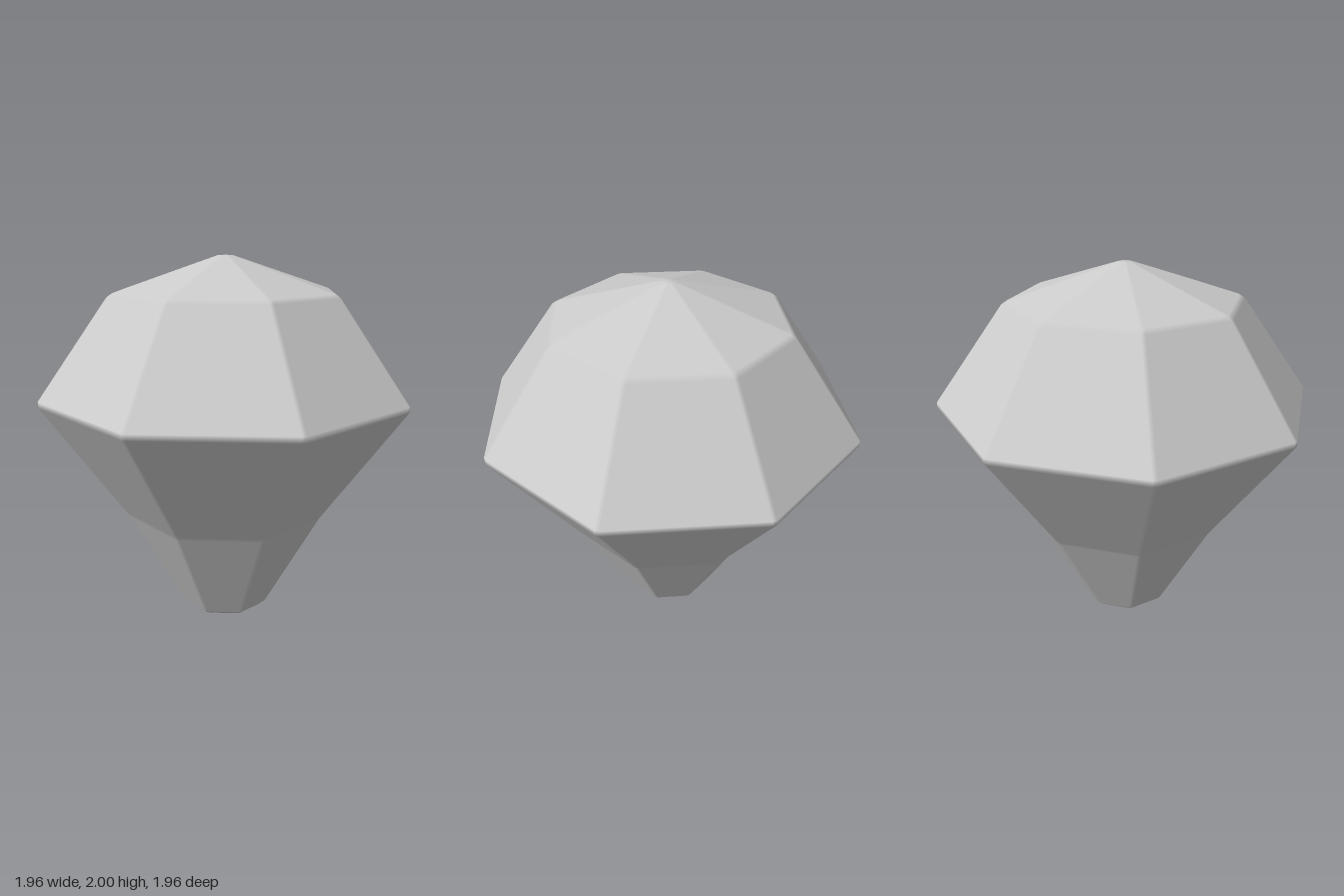
import * as THREE from 'three';

const SIDES = 8;
const STEP = (Math.PI * 2) / SIDES;
const BEVEL = 0.012;

// Facet bands from bottom to top: [radius, y] to [radius, y] at the corners.
// The small gaps between consecutive bands become the bevels.
const BANDS = [
  [0.035, 0, 0.228, 0.064],    // bottom tip
  [0.257, 0.09, 0.553, 0.645], // lower pavilion
  [0.57, 0.67, 0.983, 1.28],   // upper pavilion
  [0.983, 1.31, 0.618, 1.806], // crown
  [0.588, 1.825, 0.04, 2],     // top
];

function gemGeometry() {
  const positions = [], normals = [], index = [];
  const ringSize = SIDES * 2;

  // One ring: two points per side, each carrying its facet's flat normal
  function addRing(r, y, slopeR, slopeY) {
    const sideLength = 2 * r * Math.sin(STEP / 2);
    const inset = Math.min(BEVEL / sideLength, 0.2);
    for (let s = 0; s < SIDES; s++) {
      const a = new THREE.Vector2(Math.cos(s * STEP), Math.sin(s * STEP)).multiplyScalar(r);
      const b = new THREE.Vector2(Math.cos((s + 1) * STEP), Math.sin((s + 1) * STEP)).multiplyScalar(r);
      const mid = (s + 0.5) * STEP;
      const n = new THREE.Vector3(Math.cos(mid) * slopeY, -slopeR * Math.cos(STEP / 2), Math.sin(mid) * slopeY).normalize();
      for (const t of [inset, 1 - inset]) {
        const p = a.clone().lerp(b, t);
        positions.push(p.x, y, p.y);
        normals.push(n.x, n.y, n.z);
      }
    }
  }

  for (const [r0, y0, r1, y1] of BANDS) {
    addRing(r0, y0, r1 - r0, y1 - y0);
    addRing(r1, y1, r1 - r0, y1 - y0);
  }

  // Facets and bevels
  const rings = BANDS.length * 2;
  for (let i = 0; i < rings - 1; i++) {
    for (let j = 0; j < ringSize; j++) {
      const k = (j + 1) % ringSize;
      const a = i * ringSize + j, b = i * ringSize + k;
      const c = a + ringSize, d = b + ringSize;
      index.push(a, c, b, b, c, d);
    }
  }

  // Tiny end caps
  const bottom = positions.length / 3, top = bottom + 1;
  positions.push(0, 0, 0, 0, 2, 0);
  normals.push(0, -1, 0, 0, 1, 0);
  const last = (rings - 1) * ringSize;
  for (let j = 0; j < ringSize; j++) {
    const k = (j + 1) % ringSize;
    index.push(bottom, j, k, top, last + k, last + j);
  }

  const geometry = new THREE.BufferGeometry();
  geometry.setAttribute('position', new THREE.Float32BufferAttribute(positions, 3));
  geometry.setAttribute('normal', new THREE.Float32BufferAttribute(normals, 3));
  geometry.setIndex(index);
  return geometry;
}

export function createModel() {
  const group = new THREE.Group();
  group.name = 'gemstone';
  const gem = new THREE.Mesh(gemGeometry(), new THREE.MeshStandardMaterial({ color: 0xcccccc }));
  gem.name = 'facetedGem';
  group.add(gem);
  return group;
}
